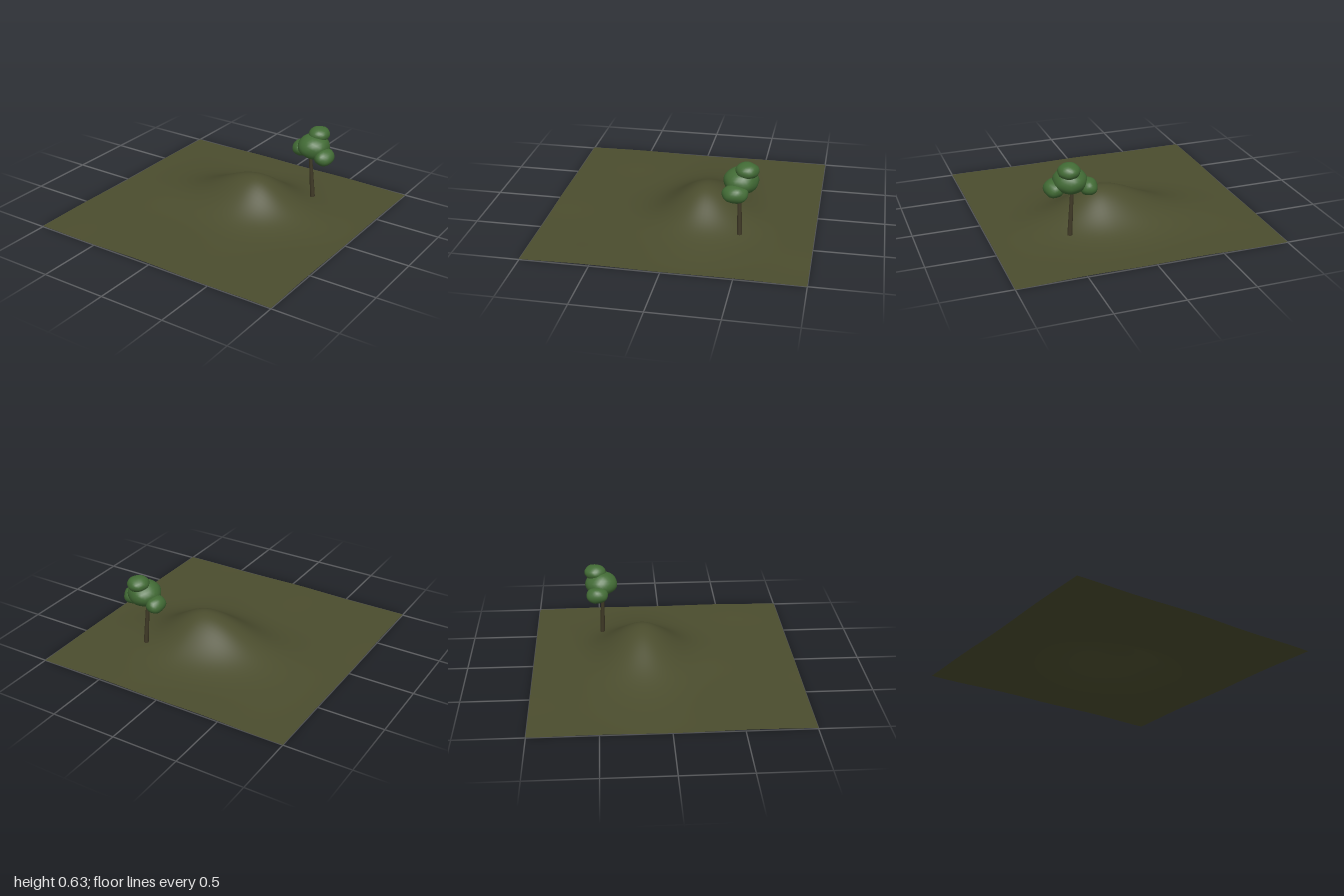
import * as THREE from 'three';
import { mergeVertices } from 'three/addons/utils/BufferGeometryUtils.js';

const grass = new THREE.MeshStandardMaterial({ color: 0x4b4d2e, side: THREE.DoubleSide });
grass.name = 'olive grass';
const leaf = new THREE.MeshStandardMaterial({ color: 0x426b35 });
leaf.name = 'leaf green';
const bark = new THREE.MeshStandardMaterial({ color: 0x3f3926 });
bark.name = 'dark bark';

const bell = (d, s) => Math.exp(-(d * d) / (2 * s * s));

// Ground height: one lopsided hill with a low shoulder on gentle ripples
function heightAt(x, z) {
  const dx = x - 0.12, dz = z + 0.17;
  const hill = 0.26 * bell(dx, dx < 0 ? 0.325 : 0.245) * bell(dz, dz < 0 ? 0.225 : 0.21);
  const shoulder = 0.018 * bell(x - 0.68, 0.15) * bell(z + 0.2, 0.2);
  const ripple = 0.003 * Math.sin(x * 7 + z * 2) + 0.003 * Math.cos(z * 6 - x * 3);
  return 0.009 + hill + shoulder + ripple;
}

function makeGround() {
  const geo = new THREE.PlaneGeometry(2, 2, 64, 64).rotateX(-Math.PI / 2);
  const p = geo.attributes.position;
  for (let i = 0; i < p.count; i++) p.setY(i, Math.max(0, heightAt(p.getX(i), p.getZ(i))));
  geo.computeVertexNormals();
  const mesh = new THREE.Mesh(geo, grass);
  mesh.name = 'hillyGround';
  return mesh;
}

// Slightly lumpy ellipsoid with smooth normals
function makeClump(name, [x, y, z], [rx, ry, rz], phase) {
  let geo = new THREE.IcosahedronGeometry(1, 4);
  geo.deleteAttribute('normal');
  geo.deleteAttribute('uv');
  geo = mergeVertices(geo, 1e-4);
  const p = geo.attributes.position;
  const v = new THREE.Vector3();
  for (let i = 0; i < p.count; i++) {
    v.fromBufferAttribute(p, i);
    const lump = 1 + 0.04 * Math.sin(v.x * 4 + phase) * Math.cos(v.z * 4 + v.y * 3 + phase);
    p.setXYZ(i, v.x * rx * lump, v.y * ry * lump, v.z * rz * lump);
  }
  geo.computeVertexNormals();
  const mesh = new THREE.Mesh(geo, leaf);
  mesh.name = name;
  mesh.position.set(x, y, z);
  return mesh;
}

function makeTree() {
  const tree = new THREE.Group();
  tree.name = 'tree';

  // Leaning, tapered trunk
  const foot = new THREE.Vector3(0.458, 0.06, -0.472);
  const top = new THREE.Vector3(0.43, 0.45, -0.46);
  const axis = top.clone().sub(foot);
  const trunk = new THREE.Mesh(new THREE.CylinderGeometry(0.012, 0.019, axis.length(), 8), bark);
  trunk.name = 'trunk';
  trunk.position.copy(foot).add(top).multiplyScalar(0.5);
  trunk.quaternion.setFromUnitVectors(new THREE.Vector3(0, 1, 0), axis.normalize());
  tree.add(trunk);

  // Crown of overlapping clumps
  tree.add(
    makeClump('middleFoliage', [0.453, 0.483, -0.472], [0.122, 0.095, 0.125], 0),
    makeClump('rightFoliage', [0.33, 0.434, -0.505], [0.066, 0.063, 0.085], 1),
    makeClump('leftFoliage', [0.562, 0.427, -0.447], [0.073, 0.066, 0.093], 2),
    makeClump('topFoliage', [0.472, 0.572, -0.517], [0.08, 0.058, 0.084], 3)
  );
  return tree;
}

export function createModel() {
  const model = new THREE.Group();
  model.name = 'hillWithTree';
  model.add(makeGround(), makeTree());
  return model;
}
